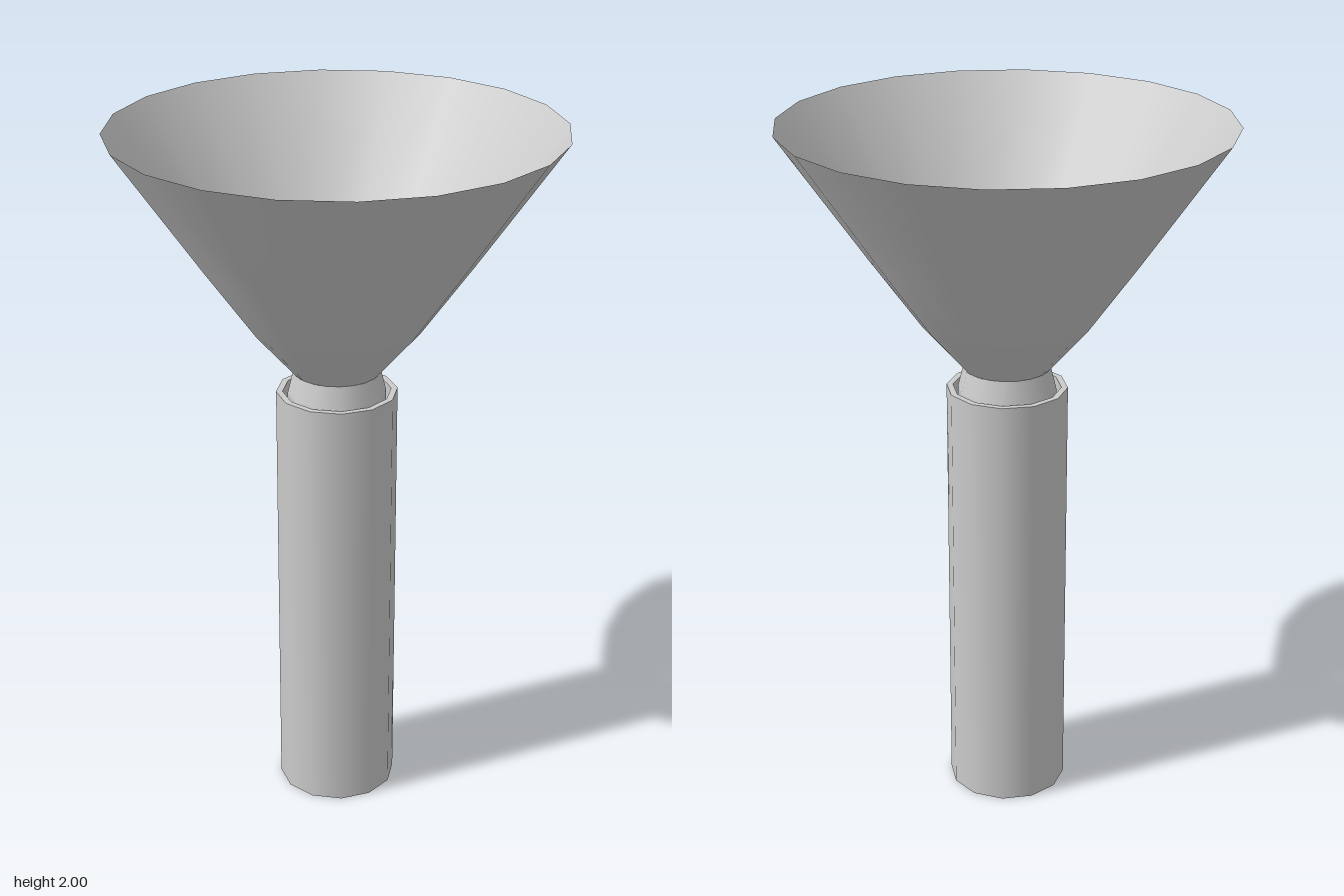
import * as THREE from 'three';

const mat = new THREE.MeshStandardMaterial({ color: 0xcccccc, side: THREE.DoubleSide });

// Revolve a [radius, y] profile around the vertical axis
function revolve(name, profile, sides) {
  const points = profile.map(([r, y]) => new THREE.Vector2(r, y));
  const mesh = new THREE.Mesh(new THREE.LatheGeometry(points, sides), mat);
  mesh.name = name;
  return mesh;
}

// Flat ring facing up or down
function ring(name, inner, outer, y, sides) {
  const mesh = new THREE.Mesh(new THREE.RingGeometry(inner, outer, sides), mat);
  mesh.rotation.x = -Math.PI / 2;
  mesh.position.y = y;
  mesh.name = name;
  return mesh;
}

export function createModel() {
  const group = new THREE.Group();

  // Thin open cone, slightly flared near its throat
  group.add(revolve('funnel', [[0.122, 1.315], [0.235, 1.445], [0.38, 1.65], [0.62, 2]], 20));

  // Tapered neck that runs on as a tube inside the handle
  group.add(revolve('neck', [[0.122, 1.315], [0.138, 1.25]], 12));
  group.add(revolve('innerTube', [[0.138, 1.25], [0.13, 0.01]], 12));

  // Hollow handle: outer wall, inner wall and end rims
  group.add(revolve('handleOuterWall', [[0.17, 0], [0.17, 1.255]], 12));
  group.add(revolve('handleInnerWall', [[0.152, 0], [0.152, 1.255]], 12));
  for (const y of [0, 1.255]) group.add(ring(y ? 'topRim' : 'bottomRim', 0.152, 0.17, y, 12));

  return group;
}
